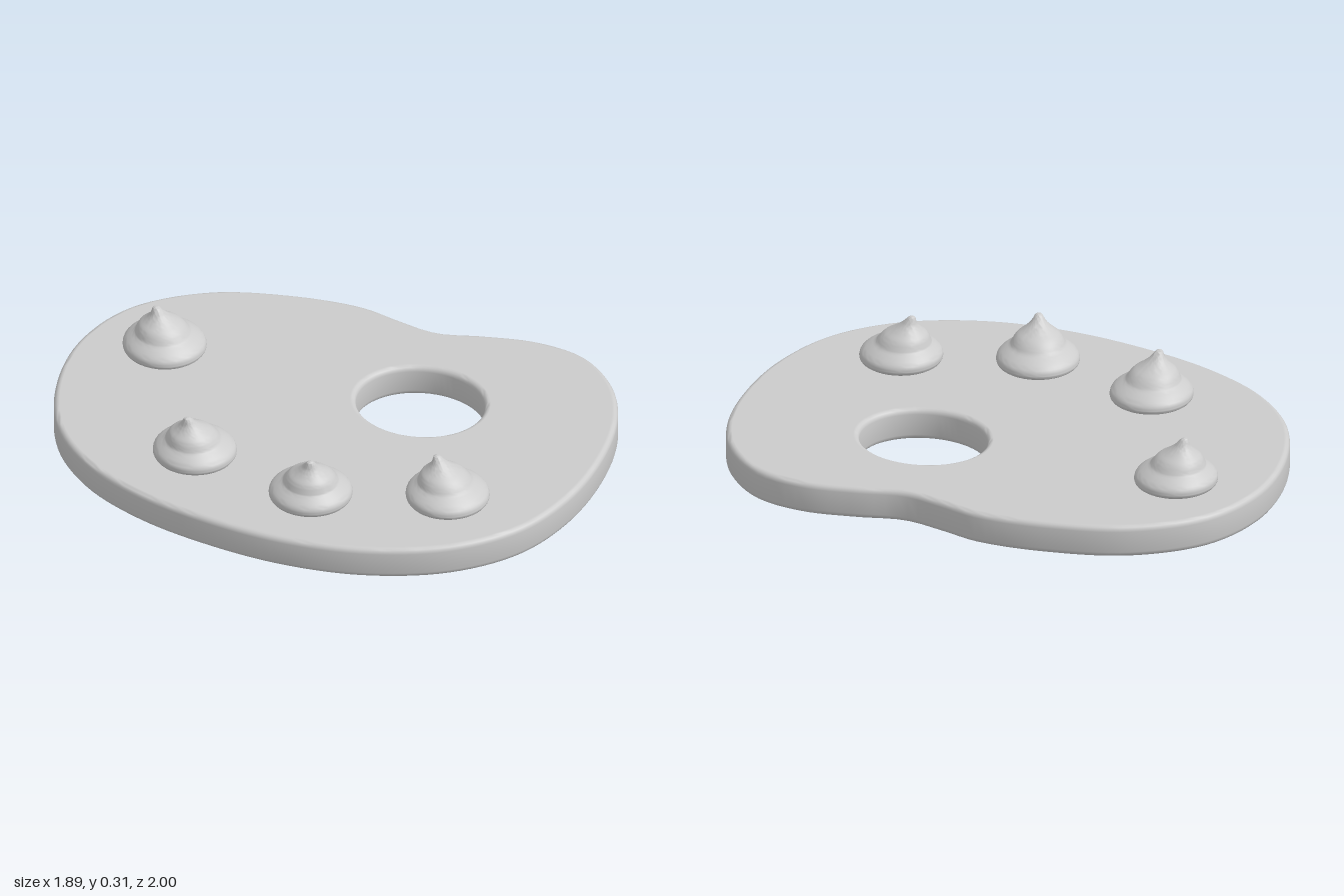
import * as THREE from 'three';
import { toCreasedNormals } from 'three/addons/utils/BufferGeometryUtils.js';

const THICKNESS = 0.127, BEVEL = 0.022;
const material = new THREE.MeshStandardMaterial({ color: 0xcccccc });

// Board outline as x, z pairs, clockwise seen from above
const OUTLINE = [
  [-0.23, -1], [0.06, -0.91], [0.3, -0.71], [0.465, -0.5], [0.525, -0.35], [0.59, -0.21],
  [0.72, -0.09], [0.86, 0.06], [0.94, 0.24], [0.915, 0.45], [0.8, 0.64], [0.59, 0.82],
  [0.35, 0.945], [0.095, 0.997], [-0.18, 0.94], [-0.445, 0.77], [-0.655, 0.53], [-0.815, 0.24],
  [-0.91, -0.02], [-0.945, -0.28], [-0.895, -0.53], [-0.735, -0.765], [-0.5, -0.94],
];

function createBoard() {
  const curve = new THREE.CatmullRomCurve3(
    OUTLINE.map(([x, z]) => new THREE.Vector3(x, -z, 0)), true);
  const outline = curve.getSpacedPoints(140).slice(0, -1);
  const shape = new THREE.Shape(outline.map((p) => new THREE.Vector2(p.x, p.y)));

  // Slightly slanted oval thumb hole
  const oval = new THREE.EllipseCurve(0.28, -0.12, 0.241, 0.213, 0, Math.PI * 2, false, -1);
  shape.holes.push(new THREE.Path(oval.getPoints(64).slice(0, -1)));

  let geometry = new THREE.ExtrudeGeometry(shape, {
    depth: THICKNESS - 2 * BEVEL, bevelThickness: BEVEL, bevelSize: BEVEL,
    bevelOffset: -BEVEL, bevelSegments: 4,
  });
  geometry.translate(0, 0, BEVEL).rotateX(-Math.PI / 2);
  geometry = toCreasedNormals(geometry, 0.8);

  // Keep both faces flat right up to the rounded rims
  const { position, normal } = geometry.attributes;
  for (let i = 0; i < position.count; i++) {
    const y = position.getY(i);
    if (y < 1e-4) normal.setXYZ(i, 0, -1, 0);
    else if (y > THICKNESS - 1e-4) normal.setXYZ(i, 0, 1, 0);
  }
  const board = new THREE.Mesh(geometry, material);
  board.name = 'board';
  return board;
}

// Two-tiered paint swirl: radius, height pairs
const SWIRL = [
  [0.135, 0], [0.15, 0.008], [0.155, 0.022], [0.148, 0.042], [0.125, 0.062], [0.104, 0.077],
  [0.094, 0.094], [0.08, 0.112], [0.058, 0.129], [0.037, 0.147], [0.023, 0.164],
  [0.016, 0.176], [0.009, 0.183], [0, 0.185],
];

function createDollop(x, z, leanX, leanZ) {
  const spline = new THREE.SplineCurve(SWIRL.map(([r, y]) => new THREE.Vector2(r, y)));
  const profile = spline.getPoints(40).map((p) => new THREE.Vector2(Math.max(p.x, 0), p.y));
  const geometry = new THREE.LatheGeometry([new THREE.Vector2(0, 0), ...profile], 40);
  // Pull the tip to one side, more towards the top
  const position = geometry.attributes.position;
  for (let i = 0; i < position.count; i++) {
    const t = Math.pow(Math.max(position.getY(i), 0) / 0.185, 1.6);
    position.setX(i, position.getX(i) + leanX * t);
    position.setZ(i, position.getZ(i) + leanZ * t);
  }
  const mesh = new THREE.Mesh(toCreasedNormals(geometry, 0.9), material);
  mesh.position.set(x, THICKNESS - 0.001, z);
  mesh.name = 'paintDollop';
  return mesh;
}

export function createModel() {
  const group = new THREE.Group();
  group.name = 'paintPalette';
  group.add(createBoard());
  // Centre x, z and sideways lean of each tip
  const dollops = [
    [-0.285, -0.705, -0.025, -0.022],
    [-0.59, -0.09, -0.042, 0.008],
    [-0.4, 0.375, -0.028, 0.036],
    [0, 0.685, -0.026, -0.036],
  ];
  for (const d of dollops) group.add(createDollop(...d));
  return group;
}
